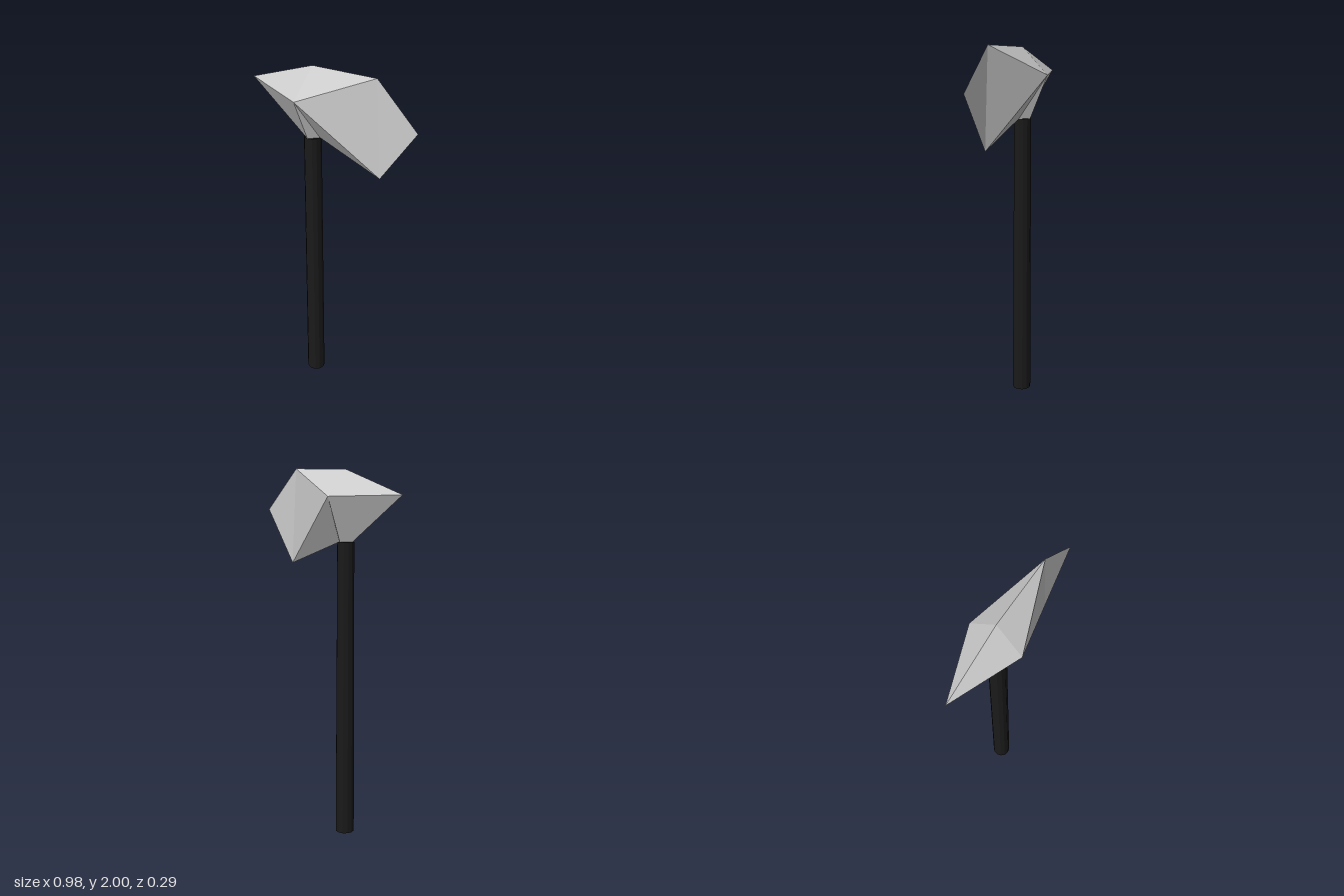
import * as THREE from 'three';

const HANDLE_X = -0.114;
const HANDLE_TOP = 1.605;

// Head outline on the centre plane, plus the raised cheek and the collar around the handle
const P = {
  spike: [-0.49, 1.838, 0],
  crown: [-0.11, 1.98, 0],
  bladeTop: [0.26, 2.0, 0],
  bladeTip: [0.49, 1.784, 0],
  bladeLow: [0.295, 1.483, 0],
  cheek: [-0.12, 1.837, 0.143],
  collarBack: [HANDLE_X - 0.046, HANDLE_TOP, 0],
  collarSide: [HANDLE_X, HANDLE_TOP, 0.046],
  collarFront: [HANDLE_X + 0.046, HANDLE_TOP, 0],
};

// Facets of the +z half, counter-clockwise from outside
const BODY = [
  ['spike', 'cheek', 'crown'],
  ['cheek', 'bladeTop', 'crown'],
  ['cheek', 'bladeLow', 'bladeTop'],
  ['spike', 'collarBack', 'collarSide', 'cheek'],
  ['cheek', 'collarSide', 'collarFront'],
  ['cheek', 'collarFront', 'bladeLow'],
];
const EDGE = [['bladeLow', 'bladeTip', 'bladeTop']];

// Facets as triangle fans, each with one averaged normal, on the given sides of the centre plane
function facetGeometry(facets, sides) {
  const positions = [];
  const normals = [];
  for (const side of sides) {
    for (const facet of facets) {
      const points = facet.map((name) => new THREE.Vector3(...P[name]));
      points.forEach((p) => { p.z *= side; });
      if (side < 0) points.reverse(); // the mirrored half needs its corners reversed
      const normal = new THREE.Vector3();
      points.forEach((p, i) => {
        normal.add(p.clone().cross(points[(i + 1) % points.length]));
      });
      normal.normalize();
      for (let i = 1; i < points.length - 1; i++) {
        for (const p of [points[0], points[i], points[i + 1]]) {
          positions.push(p.x, p.y, p.z);
          normals.push(normal.x, normal.y, normal.z);
        }
      }
    }
  }
  const geometry = new THREE.BufferGeometry();
  geometry.setAttribute('position', new THREE.Float32BufferAttribute(positions, 3));
  geometry.setAttribute('normal', new THREE.Float32BufferAttribute(normals, 3));
  return geometry;
}

export function createModel() {
  const model = new THREE.Group();
  model.name = 'axe';

  function addPart(name, geometry, settings) {
    const mesh = new THREE.Mesh(geometry, new THREE.MeshStandardMaterial(settings));
    mesh.name = name;
    model.add(mesh);
    return mesh;
  }

  // Head: thick cheeks with a back spike, and a single-sheet cutting edge
  const steel = { color: 0xcccccc, side: THREE.DoubleSide };
  addPart('axeHead', facetGeometry(BODY, [1, -1]), steel);
  addPart('cuttingEdge', facetGeometry(EDGE, [1]), steel);

  // Dark, slightly tapered handle
  const handle = addPart(
    'handle',
    new THREE.CylinderGeometry(0.046, 0.052, HANDLE_TOP, 12),
    { color: 0x1a1a1a, flatShading: true }
  );
  handle.position.set(HANDLE_X, HANDLE_TOP / 2, 0);

  return model;
}
